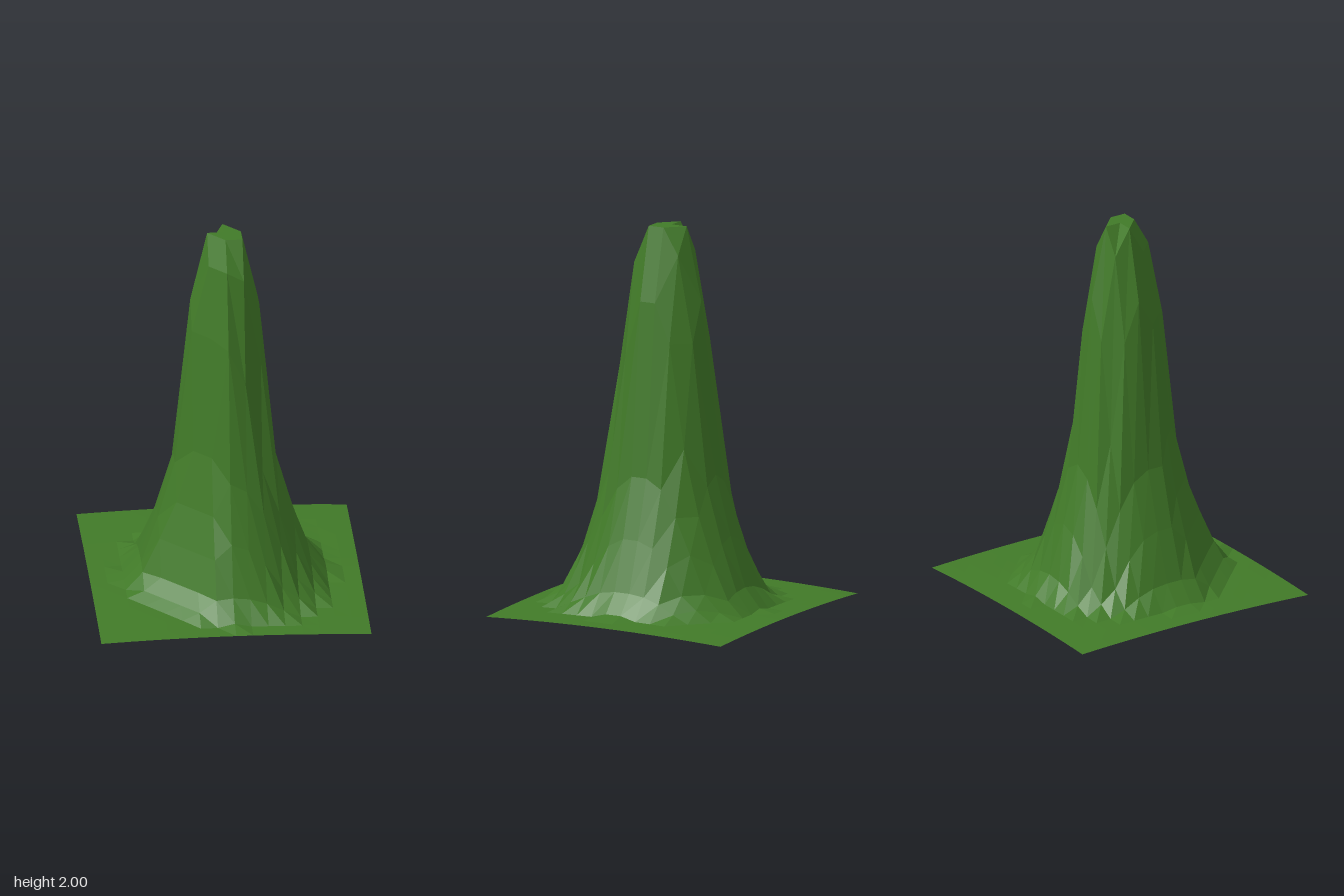
import * as THREE from 'three';

const N = 8;            // cells each side of the centre
const STEP = 0.0866;    // cell size

// Mountain profile: [distance in cells, height]
const PROFILE = [
  [0, 2], [1, 2], [1.2, 1.88], [1.42, 1.86], [2, 1.62], [2.25, 1.4],
  [3, 0.72], [4, 0.41], [5, 0.15], [6, 0.05],
];

function profileHeight(d) {
  for (let i = 1; i < PROFILE.length; i++) {
    const [d0, h0] = PROFILE[i - 1], [d1, h1] = PROFILE[i];
    if (d <= d1) return h0 + (h1 - h0) * (d - d0) / (d1 - d0);
  }
  return 0;
}

// Height at a grid point, in cells from the centre
function heightAt(i, j) {
  // gently domed, slightly uneven ground
  const ground = 0.043 - 0.035 * (i * i + j * j) / 128 - 0.0008 * i
    + 0.003 * Math.sin(i * 1.3) * Math.cos(j * 0.9) * (1 - Math.max(Math.abs(i), Math.abs(j)) / N);
  // peak is stretched along z, with a chamfered front-right flank
  let dz = Math.max(0, Math.abs(j - 0.5) - 0.5);
  if (j === 2 || j === 3) dz += 0.2;
  const d = Math.max(Math.hypot(i, dz), 0.72 * (j - i));
  return Math.max(ground, profileHeight(d));
}

export function createModel() {
  const group = new THREE.Group();
  group.name = 'mountain';
  const grass = new THREE.MeshStandardMaterial({
    color: 0x417a28, flatShading: true, side: THREE.DoubleSide,
  });
  grass.name = 'grass green';

  // Height field with every cell split along the same diagonal
  const positions = [], index = [];
  const W = 2 * N + 1;
  for (let j = -N; j <= N; j++) {
    for (let i = -N; i <= N; i++) positions.push(i * STEP, heightAt(i, j), j * STEP);
  }
  for (let r = 0; r < 2 * N; r++) {
    for (let c = 0; c < 2 * N; c++) {
      const a = r * W + c, b = a + 1, e = a + W, f = e + 1;
      index.push(a, e, f, a, f, b);
    }
  }
  const geometry = new THREE.BufferGeometry();
  geometry.setAttribute('position', new THREE.Float32BufferAttribute(positions, 3));
  geometry.setIndex(index);
  const flat = geometry.toNonIndexed();
  flat.computeVertexNormals();

  const terrain = new THREE.Mesh(flat, grass);
  terrain.name = 'terrain';
  group.add(terrain);
  return group;
}
